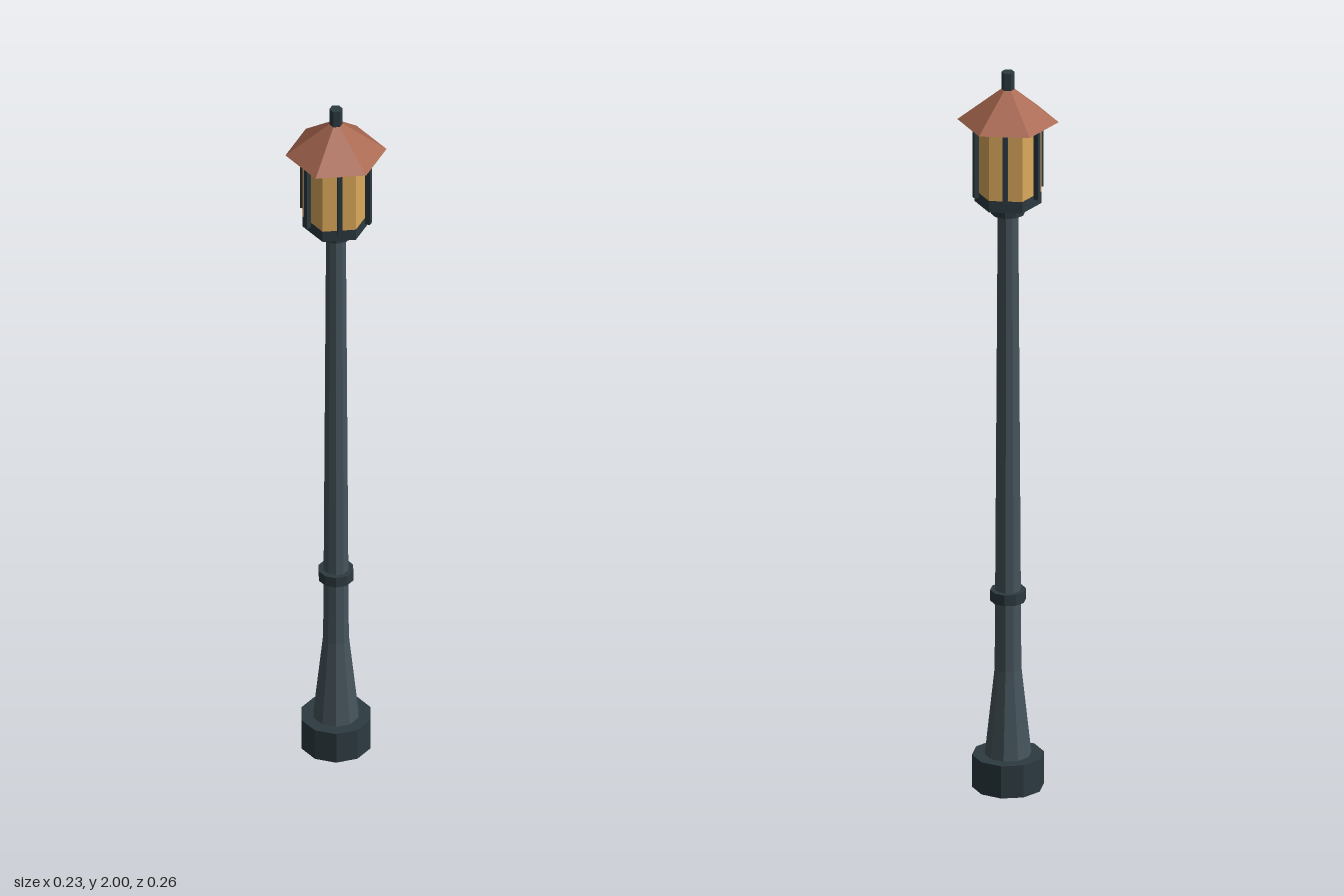
import * as THREE from 'three';

const mat = (color) => new THREE.MeshStandardMaterial({ color, flatShading: true });

export function createModel() {
  const lamp = new THREE.Group();
  lamp.name = 'streetLamp';
  const iron = mat(0x2c3a40);
  const steel = mat(0x46545c);
  const glass = mat(0xdcaa5c);
  const copper = mat(0xa8674f);

  // Faceted upright section from y0 to y1
  const section = (name, y0, y1, rBottom, rTop, sides, material) => {
    const mesh = new THREE.Mesh(
      new THREE.CylinderGeometry(rTop, rBottom, y1 - y0, sides), material);
    mesh.position.y = (y0 + y1) / 2;
    mesh.name = name;
    lamp.add(mesh);
  };

  // Ten-sided post, from the ground up
  section('base', 0, 0.09, 0.094, 0.094, 10, iron);
  section('flare', 0.09, 0.33, 0.061, 0.035, 10, steel);
  section('pole', 0.33, 1.61, 0.035, 0.027, 10, steel);
  section('collar', 0.52, 0.55, 0.047, 0.047, 10, iron);
  section('neck', 1.605, 1.635, 0.045, 0.045, 10, iron);

  // Six-sided lantern
  section('lanternFloor', 1.635, 1.667, 0.087, 0.087, 6, iron);
  section('lanternGlass', 1.667, 1.863, 0.087, 0.087, 6, glass);
  section('roof', 1.863, 1.966, 0.132, 0, 6, copper);
  section('finial', 1.94, 2, 0.0175, 0.0175, 6, iron);

  // Bars standing in front of the middle of each pane
  const bars = new THREE.Group();
  bars.name = 'lanternBars';
  const barGeometry = new THREE.BoxGeometry(0.013, 0.2, 0.013);
  for (let i = 0; i < 6; i++) {
    const a = (i * Math.PI) / 3;
    const bar = new THREE.Mesh(barGeometry, iron);
    bar.name = 'lanternBar';
    bar.position.set(0.092 * Math.cos(a), 1.764, 0.092 * Math.sin(a));
    bar.rotation.y = -a;
    bars.add(bar);
  }
  lamp.add(bars);

  return lamp;
}
